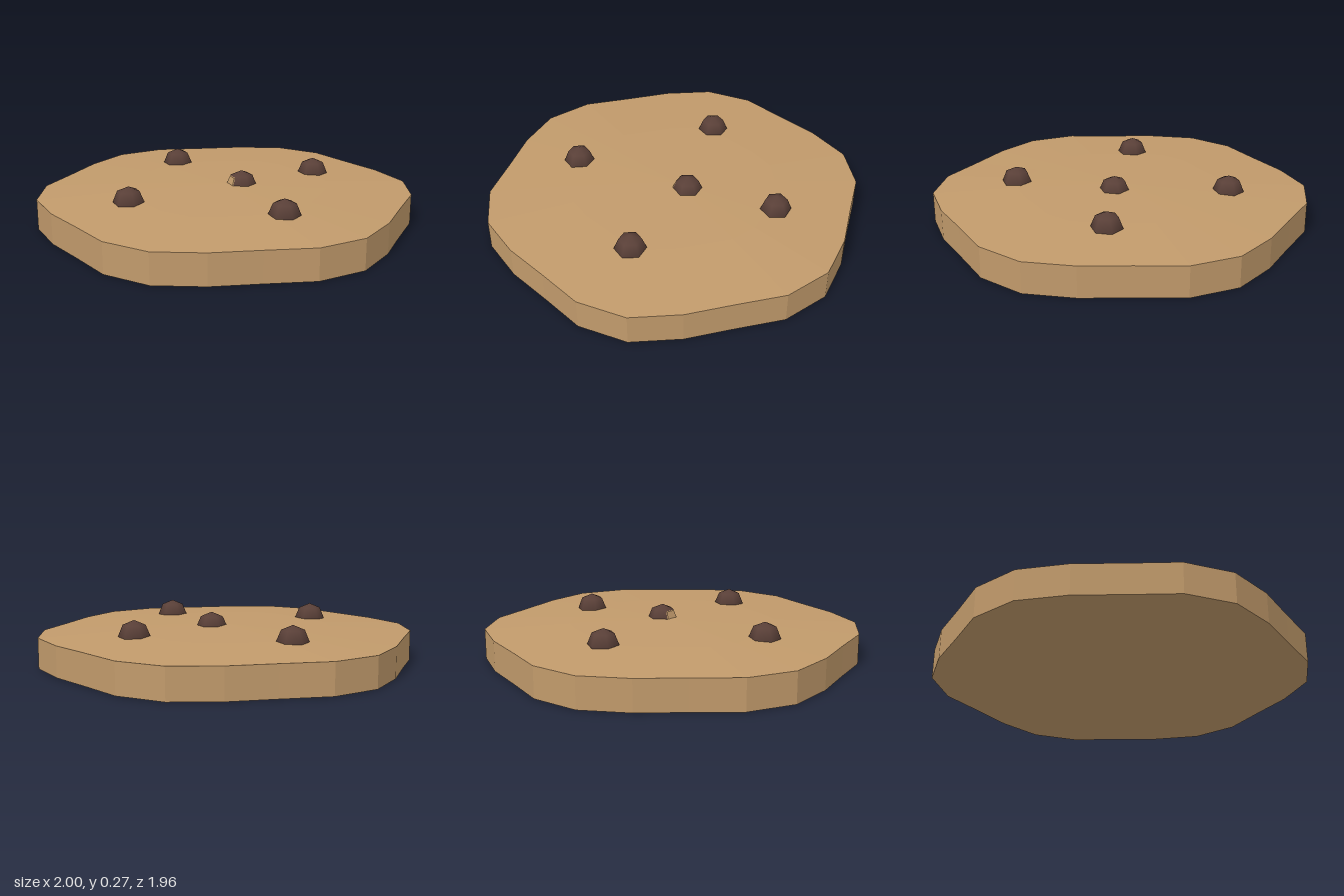
import * as THREE from 'three';

export function createModel() {
  const model = new THREE.Group();
  const dough = new THREE.MeshStandardMaterial({ color: 0xc19a6b, flatShading: true });
  dough.name = 'dough';
  const chocolate = new THREE.MeshStandardMaterial({ color: 0x5a4038 });
  chocolate.name = 'dark chocolate';

  // Wavy outline: 24 corners, the radius repeats every four
  const wave = [1, 0.95, 0.972, 1.015];
  const N = 24;
  // Rings from bottom to crown: [radius scale, height]
  const rings = [[0, 0], [1, 0], [1, 0.163], [0.55, 0.187], [0, 0.2]];
  const positions = [];
  const indices = [];
  for (const [s, y] of rings) {
    for (let i = 0; i < N; i++) {
      const a = (i / N) * Math.PI * 2;
      const r = s * wave[i % 4];
      positions.push(r * Math.cos(a), y, r * Math.sin(a));
    }
  }
  for (let k = 0; k < rings.length - 1; k++) {
    for (let i = 0; i < N; i++) {
      const j = (i + 1) % N;
      const a = k * N + i, b = k * N + j, c = a + N, d = b + N;
      if (rings[k][0] > 0) indices.push(a, c, b);
      if (rings[k + 1][0] > 0) indices.push(b, c, d);
    }
  }
  const geometry = new THREE.BufferGeometry();
  geometry.setAttribute('position', new THREE.Float32BufferAttribute(positions, 3));
  geometry.setIndex(indices);
  geometry.computeVertexNormals();
  const cookie = new THREE.Mesh(geometry, dough);
  cookie.name = 'cookie';
  model.add(cookie);

  // Faceted chips pressed into the top
  const chipGeometry = new THREE.SphereGeometry(0.083, 6, 4);
  const chips = [[-0.33, -0.48], [0.47, -0.33], [0.33, 0.47], [-0.475, 0.33], [0.083, -0.03]];
  chips.forEach(([x, z], i) => {
    const chip = new THREE.Mesh(chipGeometry, chocolate);
    chip.name = `chip${i + 1}`;
    chip.position.set(x, 0.186, z);
    model.add(chip);
  });

  // Bit of dough clinging to one side of the middle chip
  const crumb = new THREE.Mesh(new THREE.SphereGeometry(0.076, 6, 4), dough);
  crumb.name = 'crumb';
  crumb.position.set(0.073, 0.183, -0.025);
  model.add(crumb);

  return model;
}
